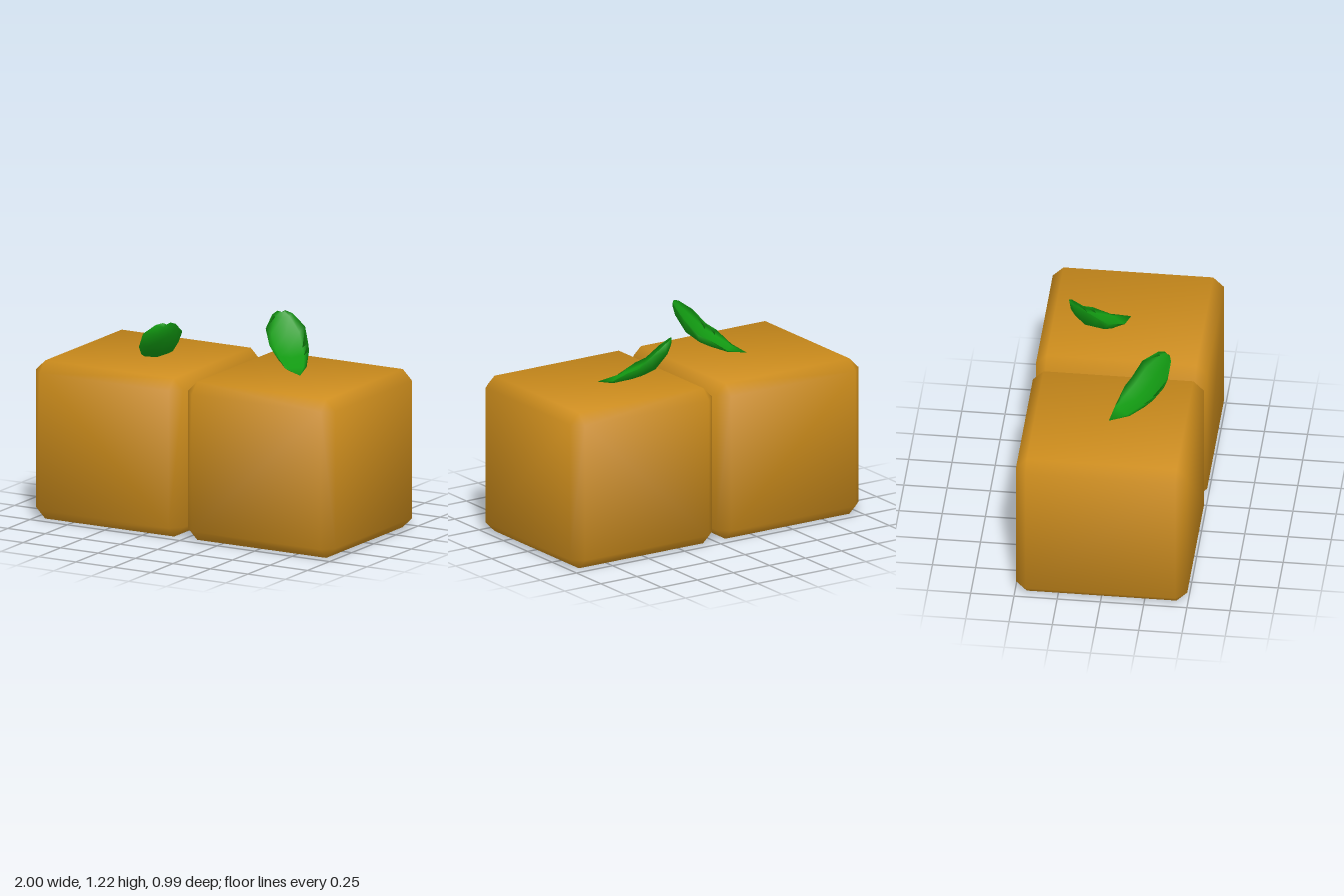
import * as THREE from 'three';
import { ConvexGeometry } from 'three/addons/geometries/ConvexGeometry.js';
import { mergeVertices } from 'three/addons/utils/BufferGeometryUtils.js';

// Block with chamfered edges and soft normals
function blockGeometry(w, h, d, c) {
  const half = [w / 2, h / 2, d / 2];
  const points = [];
  for (const sx of [-1, 1]) for (const sy of [-1, 1]) for (const sz of [-1, 1]) {
    const sign = [sx, sy, sz];
    for (let face = 0; face < 3; face++) {
      points.push(new THREE.Vector3(...sign.map((s, k) => s * (half[k] - (k === face ? 0 : c)))));
    }
  }
  const geo = new ConvexGeometry(points);
  // Each corner's normal leans from its own face towards the neighbouring chamfers
  const pos = geo.attributes.position;
  const n = new THREE.Vector3();
  for (let i = 0; i < pos.count; i++) {
    const p = [pos.getX(i), pos.getY(i), pos.getZ(i)];
    n.set(...p.map((v, k) => Math.sign(v) * (Math.abs(v) > half[k] - c / 2 ? 1 : 0.39))).normalize();
    geo.attributes.normal.setXYZ(i, n.x, n.y, n.z);
  }
  return geo;
}

// Cupped leaf: sections of [distance, half width, rim height, upper rib, under rib]
const SECTIONS = [
  [-0.01, 0, 0.935, 0.935, 0.935],
  [0.09, 0.065, 0.96, 0.957, 0.94],
  [0.19, 0.105, 1.03, 0.995, 0.962],
  [0.25, 0.115, 1.06, 1.025, 0.985],
  [0.33, 0.117, 1.14, 1.095, 1.03],
  [0.40, 0.06, 1.205, 1.18, 1.125],
  [0.42, 0.022, 1.22, 1.21, 1.18],
  [0.422, 0, 1.21, 1.21, 1.21],
];

function leafGeometry() {
  const sides = 8, r = Math.SQRT1_2;
  const positions = [], index = [];
  SECTIONS.forEach(([s, w, rim, top, under], i) => {
    for (let j = 0; j < sides; j++) {
      const a = (j / sides) * Math.PI * 2;
      const across = w * Math.cos(a), lift = Math.sin(a);
      const y = rim + Math.abs(lift) * ((lift > 0 ? top : under) - rim);
      positions.push(r * (across - s), y, -r * (across + s));
      if (i === SECTIONS.length - 1) continue;
      const p = i * sides + j, q = i * sides + (j + 1) % sides;
      index.push(p, p + sides, q, p + sides, q + sides, q);
    }
  });
  let geo = new THREE.BufferGeometry();
  geo.setAttribute('position', new THREE.Float32BufferAttribute(positions, 3));
  geo.setIndex(index);
  geo = mergeVertices(geo);
  geo.computeVertexNormals();
  return geo;
}

export function createModel() {
  const model = new THREE.Group();
  model.name = 'fruitBlocks';
  const peel = new THREE.MeshStandardMaterial({ color: 0xcc8c1c });
  const green = new THREE.MeshStandardMaterial({ color: 0x129912, side: THREE.DoubleSide });
  const blockGeo = blockGeometry(0.985, 0.935, 0.99, 0.062);
  const leafGeo = leafGeometry();

  // Two fruits, the second turned half a circle about the middle
  ['left', 'right'].forEach((side, i) => {
    const fruit = new THREE.Group();
    fruit.name = side + 'Fruit';
    const block = new THREE.Mesh(blockGeo, peel);
    block.name = side + 'Block';
    block.position.set(0.5075, 0.4675, 0);
    const leaf = new THREE.Mesh(leafGeo, green);
    leaf.name = side + 'Leaf';
    leaf.position.x = 0.505;
    fruit.add(block, leaf);
    fruit.rotation.y = i * Math.PI;
    model.add(fruit);
  });
  return model;
}
